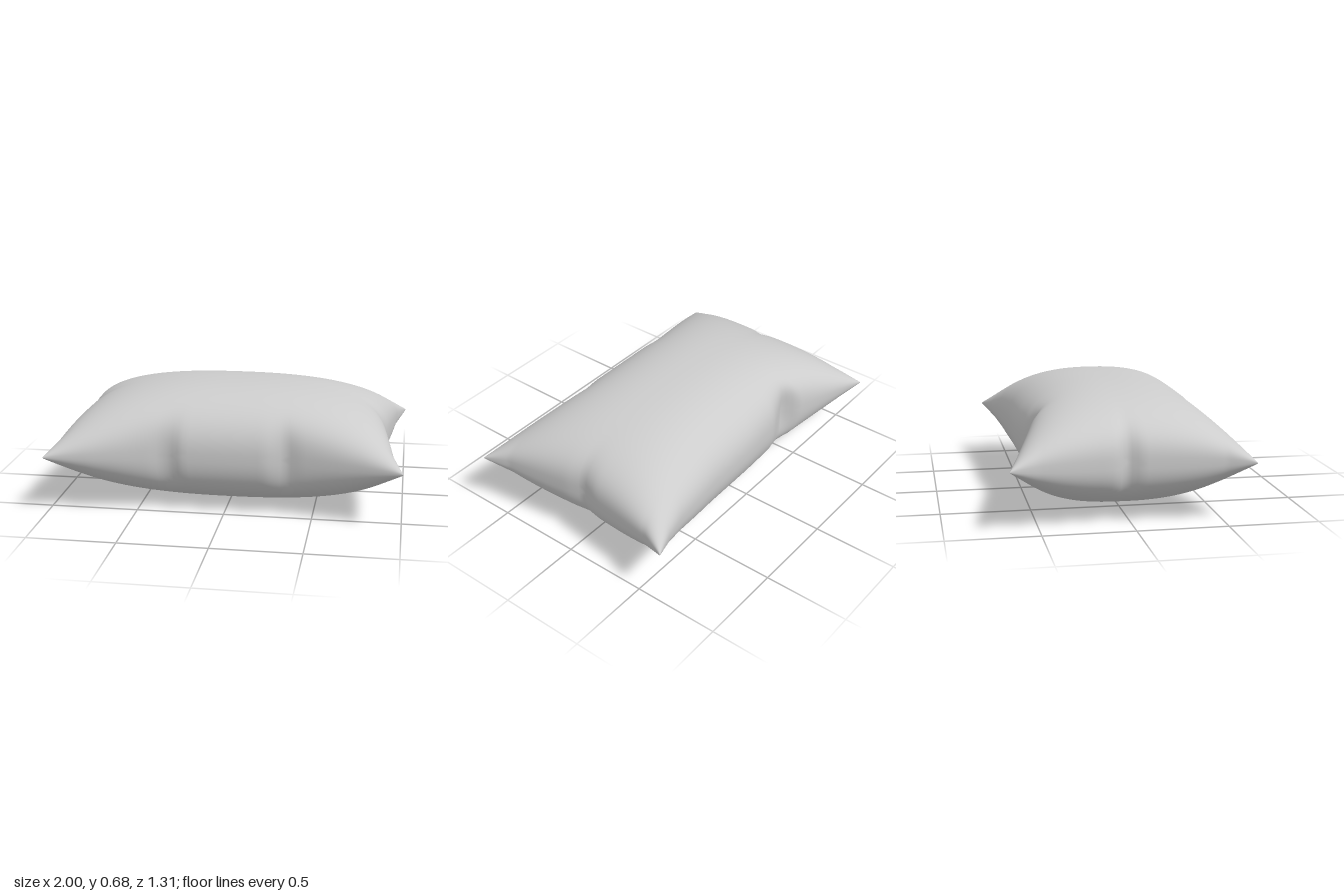
import * as THREE from 'three';
import { mergeVertices } from 'three/addons/utils/BufferGeometryUtils.js';

// Seam outlines: [position along the side (-1..1), distance from the centre]
const SEAMS = {
  front: [[-1, 0.65], [-0.75, 0.6], [-0.6, 0.565], [-0.42, 0.52], [-0.36, 0.5], [-0.3, 0.5], [-0.24, 0.53],
    [0.24, 0.53], [0.35, 0.49], [0.44, 0.52], [0.75, 0.59], [1, 0.65]],
  back: [[-1, 0.66], [-0.75, 0.59], [-0.5, 0.515], [-0.42, 0.44], [-0.25, 0.51], [0, 0.53],
    [0.35, 0.54], [0.7, 0.57], [0.85, 0.6], [1, 0.65]],
  right: [[-1, 0.98], [-0.77, 0.95], [-0.2, 0.915], [-0.13, 0.905], [-0.04, 0.865], [0.08, 0.905], [0.77, 0.955], [1, 1]],
  left: [[-1, 1], [-0.77, 0.95], [-0.16, 0.9], [0, 0.87], [0.15, 0.895], [0.77, 0.95], [1, 1]],
};

function seamAt(points, t) {
  let i = 1;
  while (i < points.length - 1 && points[i][0] < t) i++;
  const [a, b] = [points[i - 1], points[i]];
  return THREE.MathUtils.mapLinear(t, a[0], b[0], a[1], b[1]);
}

// Smooth reach inside the cloth, turning into the pinched seam near the edge
function reach(s, t, smooth, points) {
  return s * THREE.MathUtils.lerp(smooth, seamAt(points, t), Math.abs(s) ** 7);
}

// Puffed surface point; side is 1 for the upper panel, -1 for the lower
function cloth(u, v, side) {
  const x = reach(u, v, 0.905 + 0.095 * Math.abs(v) ** 3, u > 0 ? SEAMS.left : SEAMS.right);
  const z = reach(v, u, 0.53 + 0.12 * Math.abs(u) ** 2.5, v > 0 ? SEAMS.front : SEAMS.back);
  const puff = (s, p) => Math.max(0, 1 - Math.abs(s) ** 2.4) ** p;
  const corner = 1 - 0.45 * (u * v) ** 4;
  return [x, 0.342 + side * 0.338 * puff(u, 0.37) * puff(v, 0.42) * corner, z];
}

function pillowGeometry(nu, nv) {
  const positions = [], index = [];
  const spread = (i, n) => Math.sin((i / n - 0.5) * Math.PI); // denser rows at the seam
  for (const side of [1, -1]) {
    const base = positions.length / 3;
    for (let j = 0; j <= nv; j++) {
      for (let i = 0; i <= nu; i++) positions.push(...cloth(spread(i, nu), spread(j, nv), side));
    }
    for (let j = 0; j < nv; j++) {
      for (let i = 0; i < nu; i++) {
        const a = base + j * (nu + 1) + i, b = a + 1, c = a + nu + 1, d = c + 1;
        if (side > 0) index.push(a, c, b, b, c, d);
        else index.push(a, b, c, b, d, c);
      }
    }
  }
  const geometry = new THREE.BufferGeometry();
  geometry.setAttribute('position', new THREE.Float32BufferAttribute(positions, 3));
  geometry.setIndex(index);
  // Join both panels along the seam for smooth shading
  const joined = mergeVertices(geometry, 1e-4);
  joined.computeVertexNormals();
  return joined;
}

export function createModel() {
  const group = new THREE.Group();
  group.name = 'pillow';
  const fabric = new THREE.MeshStandardMaterial({ color: 0xcccccc });
  fabric.name = 'light grey fabric';
  const cushion = new THREE.Mesh(pillowGeometry(96, 72), fabric);
  cushion.name = 'cushion';
  group.add(cushion);
  return group;
}
